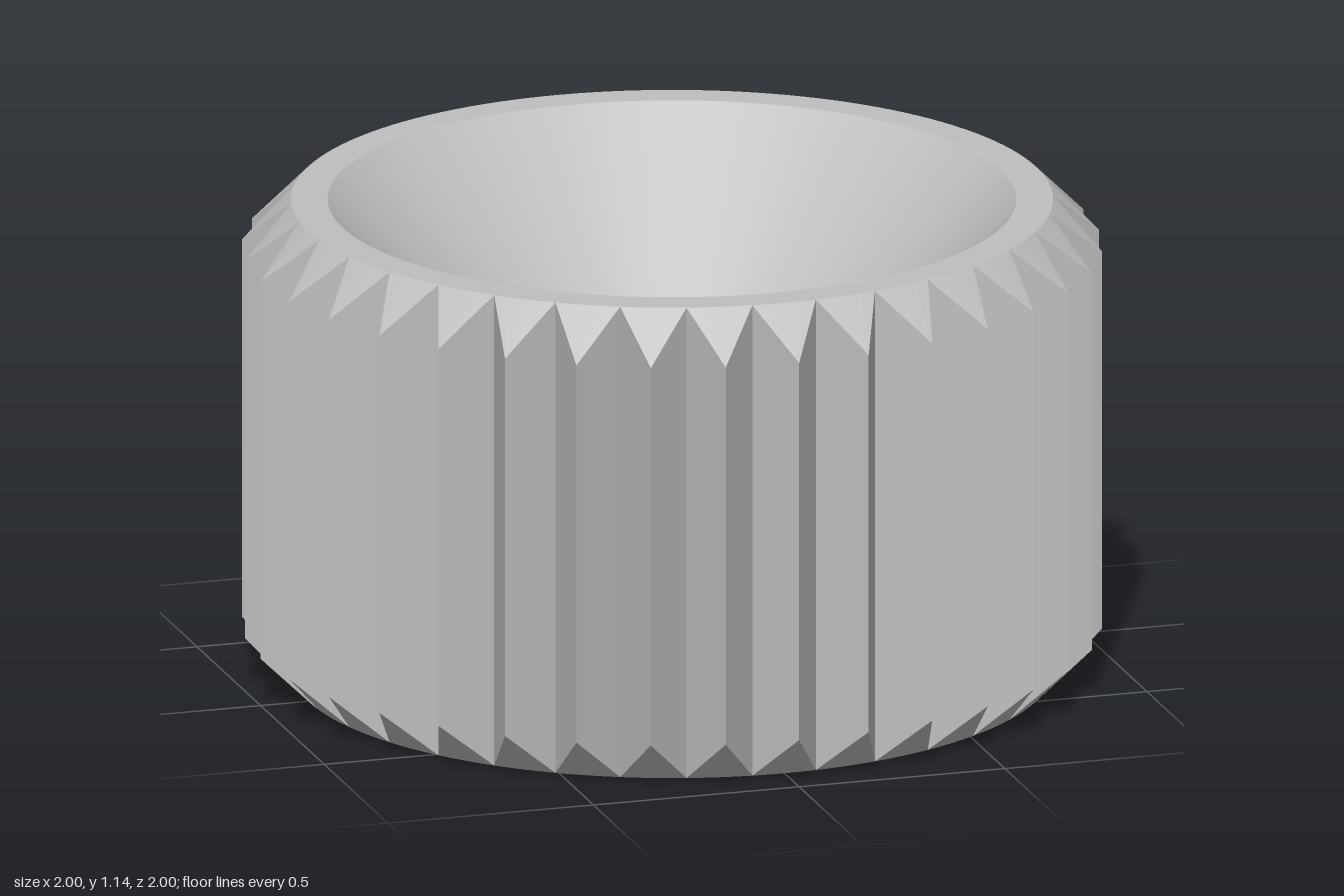
import * as THREE from 'three';

const H = 1.14;        // overall height
const RIM = 0.885;     // root radius of the teeth and rim
const TIP = 1;         // tooth tip radius
const CHAMFER = 0.113; // height of the tooth end chamfers
const TEETH = 36;
const STEPS = 4;       // rim segments per tooth

const at = (r, a, y) => [r * Math.sin(a), y, r * Math.cos(a)];

// One pointed tooth: two flanks and chamfered ends that meet the round rim
function toothGeometry() {
  const half = Math.PI / TEETH;
  const v = [];
  const tri = (...corners) => corners.forEach((c) => v.push(...c));
  const quad = (a, b, c, d) => { tri(a, b, c); tri(a, c, d); };
  const low = at(TIP, 0, CHAMFER), high = at(TIP, 0, H - CHAMFER);
  quad(at(RIM, -half, 0), low, high, at(RIM, -half, H));
  quad(low, at(RIM, half, 0), at(RIM, half, H), high);
  for (let i = 0; i < STEPS; i++) {
    const a = half * (2 * i / STEPS - 1), b = half * (2 * (i + 1) / STEPS - 1);
    tri(high, at(RIM, b, H), at(RIM, a, H));
    tri(low, at(RIM, a, 0), at(RIM, b, 0));
  }
  const geometry = new THREE.BufferGeometry();
  geometry.setAttribute('position', new THREE.Float32BufferAttribute(v, 3));
  geometry.computeVertexNormals();
  return geometry;
}

export function createModel() {
  const model = new THREE.Group();
  model.name = 'knurledKnob';
  const metal = new THREE.MeshStandardMaterial({ color: 0xbfbfbf });
  metal.name = 'grey metal';

  // Turned surfaces, kept separate so the edges between them stay sharp
  const turned = {
    base: [[0.345, 0], [RIM, 0]],
    topRim: [[RIM, H], [0.8, H]],
    countersink: [[0.8, H], [0.345, 0.685]],
    bore: [[0.345, 0.685], [0.345, 0]],
  };
  for (const [name, profile] of Object.entries(turned)) {
    const points = profile.map(([r, y]) => new THREE.Vector2(r, y));
    const mesh = new THREE.Mesh(new THREE.LatheGeometry(points, TEETH * STEPS), metal);
    mesh.name = name;
    model.add(mesh);
  }

  // Ring of grip teeth
  const teeth = new THREE.Group();
  teeth.name = 'gripTeeth';
  const geometry = toothGeometry();
  for (let i = 0; i < TEETH; i++) {
    const tooth = new THREE.Mesh(geometry, metal);
    tooth.name = 'tooth';
    tooth.rotation.y = (i * 2 * Math.PI) / TEETH;
    teeth.add(tooth);
  }
  model.add(teeth);
  return model;
}
